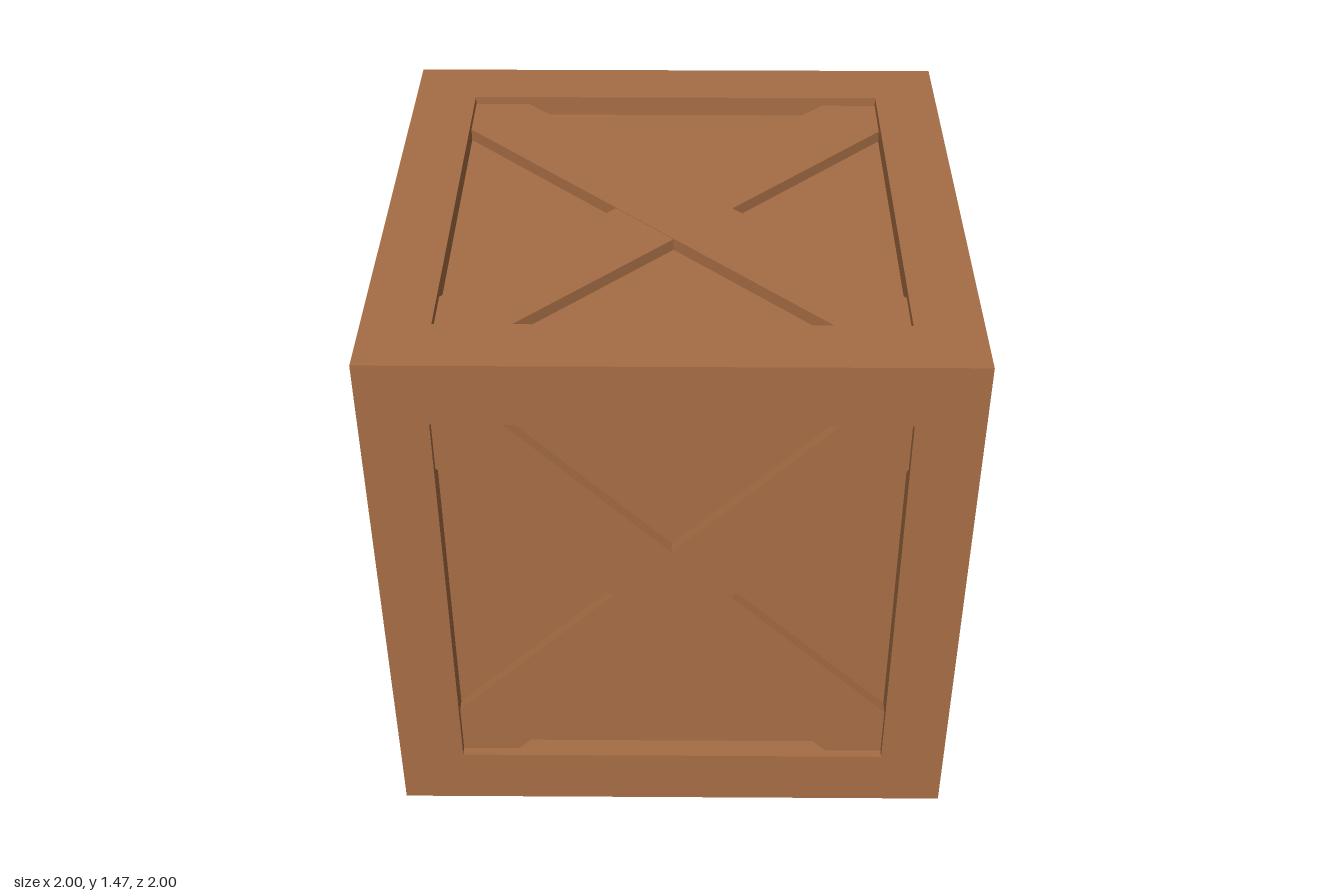
import * as THREE from 'three';

const SIZE = 1.465;          // crate edge length
const BEAM = 0.168;          // frame thickness
const PANEL_INSET = 0.055;   // panel depth below the frame face
const BRACE_INSET = 0.022;   // brace depth below the frame face
const CUT = 0.15;            // where a brace meets the opening, measured from its corner
const HALF = SIZE / 2;
const OPEN = HALF - BEAM;    // half of the square opening

const material = new THREE.MeshStandardMaterial({ color: 0xa66d45, flatShading: true });

function addMesh(parent, name, geometry) {
  const mesh = new THREE.Mesh(geometry, material);
  mesh.name = name;
  parent.add(mesh);
  return mesh;
}

function polygon(points) {
  return points.map(([x, y]) => new THREE.Vector2(x, y));
}

const square = (h) => polygon([[-h, -h], [h, -h], [h, h], [-h, h]]);

// Square border of beams, lying flat
function ringGeometry() {
  const shape = new THREE.Shape(square(HALF));
  shape.holes.push(new THREE.Path(square(OPEN).reverse()));
  return new THREE.ExtrudeGeometry(shape, { depth: BEAM, bevelEnabled: false })
    .translate(0, 0, -BEAM / 2)
    .rotateX(-Math.PI / 2);
}

// Diagonal plank whose pointed ends fill two opposite corners of the opening
function braceGeometry(depth) {
  const o = OPEN, c = OPEN - CUT;
  const shape = new THREE.Shape(polygon([[-o, o], [-o, c], [c, -o], [o, -o], [o, -c], [-c, o]]));
  return new THREE.ExtrudeGeometry(shape, { depth, bevelEnabled: false })
    .translate(0, 0, HALF - PANEL_INSET);
}

export function createModel() {
  const model = new THREE.Group();
  model.name = 'crate';

  const crate = new THREE.Group();
  crate.name = 'crateBody';
  crate.position.y = HALF;
  crate.rotation.y = Math.PI / 6;
  model.add(crate);

  // Recessed panels as one inner box
  const inner = SIZE - 2 * PANEL_INSET;
  addMesh(crate, 'panels', new THREE.BoxGeometry(inner, inner, inner));

  // Frame: top and bottom borders, joined by four posts
  const ring = ringGeometry();
  const post = new THREE.BoxGeometry(BEAM, SIZE - 2 * BEAM, BEAM);
  const offset = HALF - BEAM / 2;
  addMesh(crate, 'topFrame', ring).position.y = offset;
  addMesh(crate, 'bottomFrame', ring).position.y = -offset;
  for (const sx of [-1, 1]) {
    for (const sz of [-1, 1]) {
      addMesh(crate, 'cornerPost', post).position.set(sx * offset, 0, sz * offset);
    }
  }

  // Crossed braces on all six faces; one plank sits a hair lower than the other
  const depth = PANEL_INSET - BRACE_INSET;
  const upperBrace = braceGeometry(depth);
  const lowerBrace = braceGeometry(depth - 0.002).rotateZ(Math.PI / 2);
  const q = Math.PI / 2;
  const faces = {
    front: [0, 0], left: [0, q], back: [0, 2 * q], right: [0, -q], top: [-q, 0], bottom: [q, 0],
  };
  for (const [name, [rx, ry]] of Object.entries(faces)) {
    const cross = new THREE.Group();
    cross.name = name + 'Cross';
    cross.rotation.set(rx, ry, 0);
    addMesh(cross, 'upperBrace', upperBrace);
    addMesh(cross, 'lowerBrace', lowerBrace);
    crate.add(cross);
  }

  return model;
}
